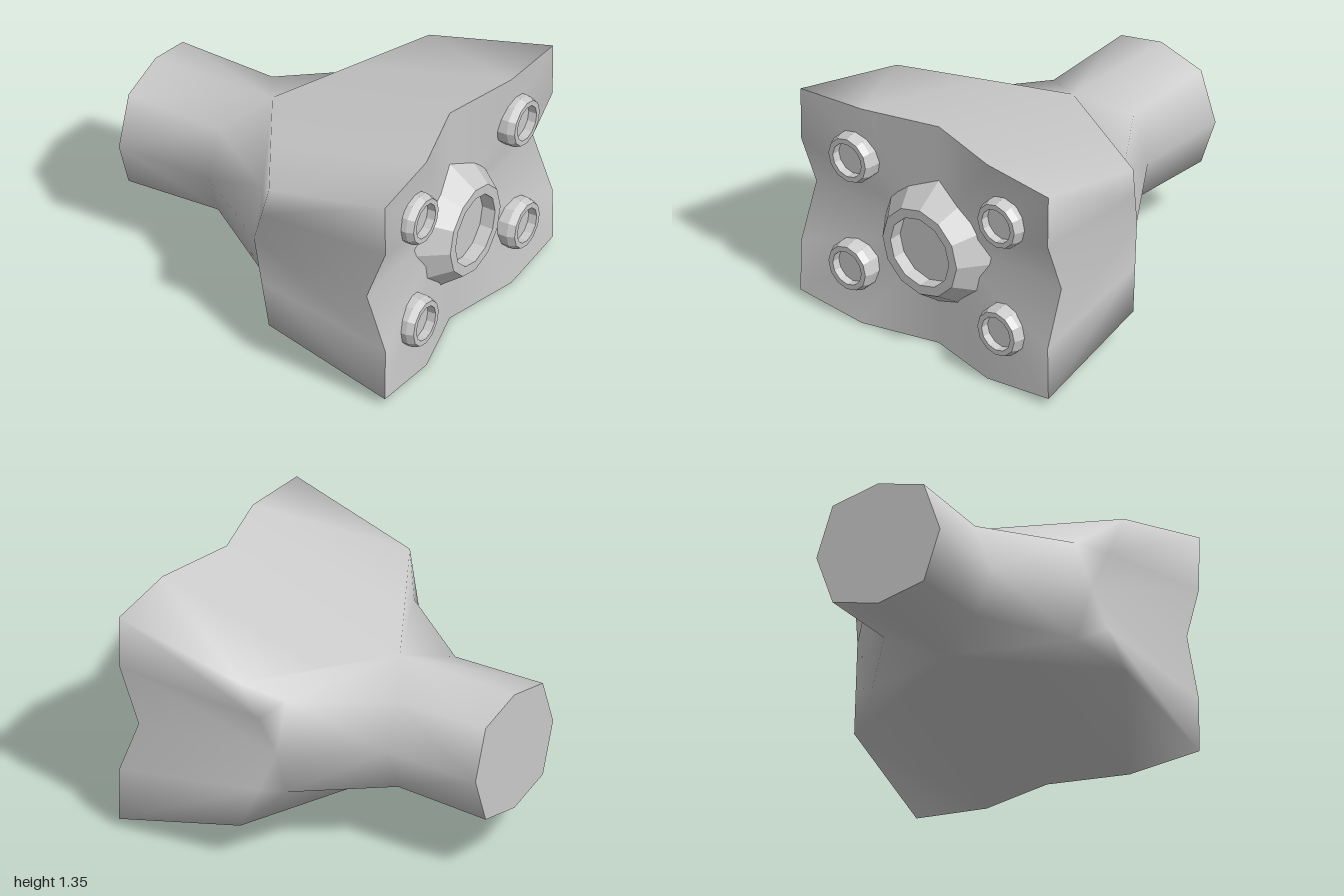
import * as THREE from 'three';
import { mergeVertices } from 'three/addons/utils/BufferGeometryUtils.js';

const MID_Y = 0.682;
const material = new THREE.MeshStandardMaterial({ color: 0xcccccc });
const flatMaterial = new THREE.MeshStandardMaterial({ color: 0xcccccc, flatShading: true });

// Quarter sections [x, height above the axis, z], from side middle over the corner to top middle.
// Where a section needs fewer points, its last ones coincide at the top.
const barrelTop = [-1, 0.353, 0];
const apex = [-0.27, 0.365, 0];
const flareSide = [0.05, 0, 0.72];
const sections = [
  // barrel end
  [[-1, 0, 0.38], [-1, 0.285, 0.28], barrelTop, barrelTop, barrelTop],
  // neck
  [[-0.44, 0, 0.38], [-0.44, 0.265, 0.28], apex, apex, apex],
  // valley behind the shoulder
  [flareSide, [0.05, 0.285, 0.627], apex, apex, apex],
  // shoulder edge, swept back to the side and top middles
  [flareSide, [0.13, 0.2225, 0.775], [0.21, 0.445, 0.83], [-0.03, 0.405, 0.415], apex],
  // notched mouth
  [[0.84, 0, 0.86], [0.96, 0.32, 0.865], [0.96, 0.63, 0.87], [0.96, 0.67, 0.44], [0.84, 0.677, 0]],
];

// Mirror a quarter section into a closed ring of 16 points
function fullRing(q) {
  const part = (list, sy, sz) =>
    list.map(([x, h, z]) => new THREE.Vector3(x, MID_Y + sy * h, sz * z));
  return [
    ...part(q, 1, 1),
    ...part(q.slice(0, 4).reverse(), 1, -1),
    ...part(q.slice(1), -1, -1),
    ...part(q.slice(1, 4).reverse(), -1, 1),
  ];
}

const rings = sections.map(fullRing);
const RING = rings[0].length;
const LAST = rings.length - 1;

// Smooth surface from a list of corner triples, leaving out collapsed triangles
function smoothGeometry(triangles) {
  const solid = triangles.filter(([a, b, c]) => new THREE.Triangle(a, b, c).getArea() > 1e-4);
  const geometry = mergeVertices(new THREE.BufferGeometry().setFromPoints(solid.flat()));
  geometry.computeVertexNormals();
  return geometry;
}

// Skin between neighbouring rings, diagonals mirrored from quarter to quarter
function skinTriangles() {
  const triangles = [];
  for (let i = 0; i < LAST; i++) {
    for (let j = 0; j < RING; j++) {
      const k = (j + 1) % RING;
      const a = rings[i][j], b = rings[i + 1][j], c = rings[i + 1][k], d = rings[i][k];
      if (Math.floor(j / 4) % 2 === 0) triangles.push([a, b, c], [a, c, d]);
      else triangles.push([a, b, d], [b, c, d]);
    }
  }
  return triangles;
}

// Fan closing a ring around a centre on the axis
function fanTriangles(ring, x, facesFront) {
  const centre = new THREE.Vector3(x, MID_Y, 0);
  return ring.map((p, j) => {
    const next = ring[(j + 1) % RING];
    return facesFront ? [centre, next, p] : [centre, p, next];
  });
}

function addMesh(group, name, geometry, mat) {
  const mesh = new THREE.Mesh(geometry, mat);
  mesh.name = name;
  group.add(mesh);
  return mesh;
}

// Twelve-sided nozzle facing +x with a recessed floor; profile is [radius, x]
function addNozzle(group, name, profile, y, z) {
  const points = profile.map(([r, x]) => new THREE.Vector2(r, x));
  const mesh = addMesh(group, name, new THREE.LatheGeometry(points, 12), flatMaterial);
  mesh.rotation.z = -Math.PI / 2;
  mesh.position.set(0, y, z);
}

export function createModel() {
  const model = new THREE.Group();
  model.name = 'flaredHousing';

  addMesh(model, 'hull', smoothGeometry(skinTriangles()), material);
  addMesh(model, 'barrelCap', smoothGeometry(fanTriangles(rings[0], -1, false)), material);
  // The fan of the mouth winds the other way, so that it faces +x
  addMesh(model, 'mouthPlate', smoothGeometry(fanTriangles(rings[LAST], 0.84, true)), material);

  // Large tapered nozzle in the middle of the mouth
  addNozzle(model, 'mainNozzle',
    [[0.385, 0.83], [0.26, 1], [0.205, 1], [0.205, 0.92], [0, 0.92]], 0.645, 0);

  // Four small nozzles around it
  const small = [[0.146, 0.86], [0.146, 0.96], [0.13, 1], [0.1, 1], [0.1, 0.95], [0, 0.95]];
  for (const y of [1.02, 0.345]) {
    for (const z of [0.51, -0.535]) addNozzle(model, 'smallNozzle', small, y, z);
  }
  return model;
}
